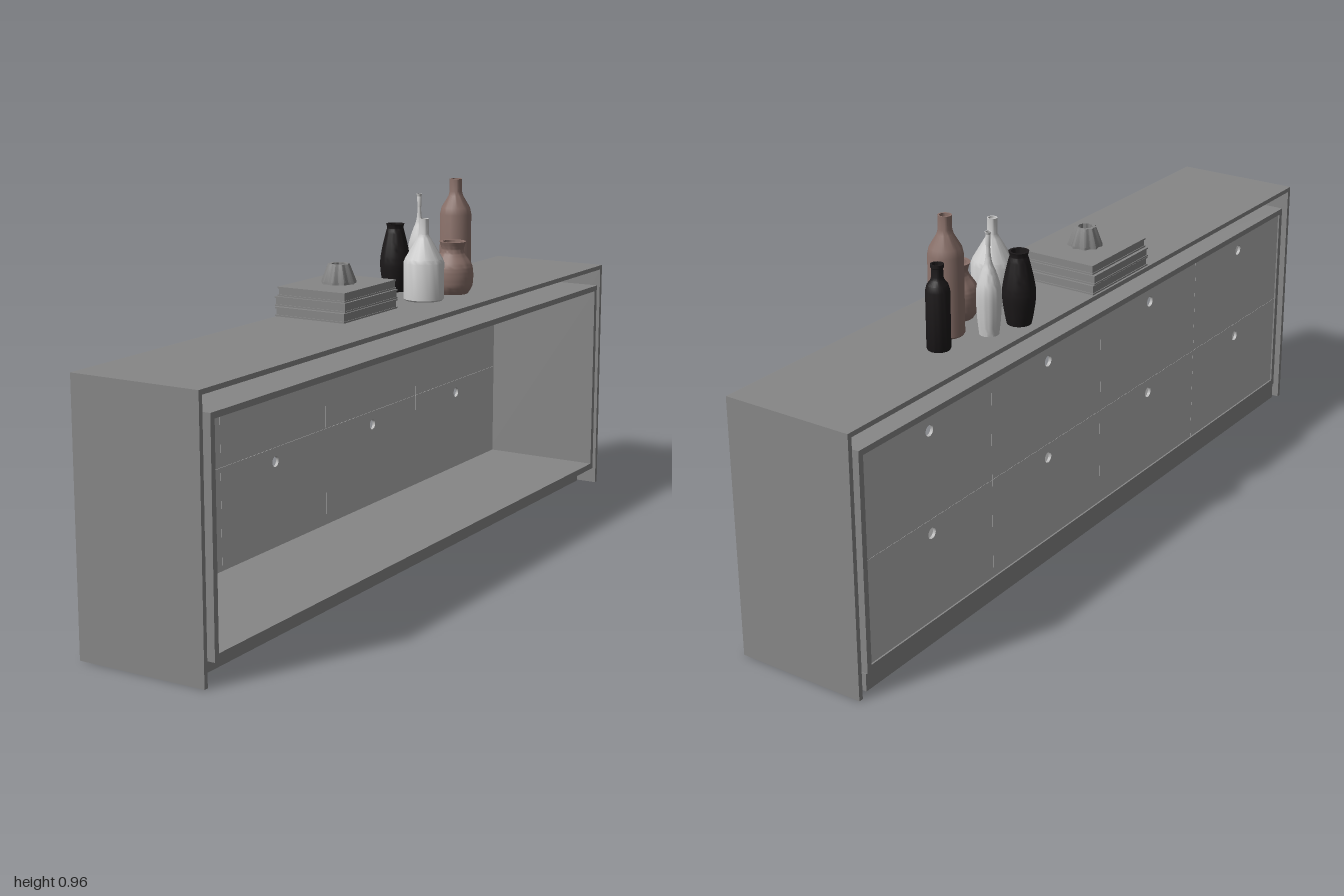
import * as THREE from 'three';
import { toCreasedNormals } from 'three/addons/utils/BufferGeometryUtils.js';

const tinted = (color) => new THREE.MeshStandardMaterial({ color, side: THREE.DoubleSide });
const darkGrey = tinted(0x878787), paleGrey = tinted(0xb4b4b4);
const white = tinted(0xf2f2f2), black = tinted(0x1c191a), clay = tinted(0x8a716a);

function add(parent, name, geometry, material = darkGrey) {
  const mesh = new THREE.Mesh(geometry, material);
  mesh.name = name;
  parent.add(mesh);
  return mesh;
}

// box given by its limits on each axis
function block(parent, name, [x0, x1], [y0, y1], [z0, z1]) {
  const mesh = add(parent, name, new THREE.BoxGeometry(x1 - x0, y1 - y0, z1 - z0));
  mesh.position.set((x0 + x1) / 2, (y0 + y1) / 2, (z0 + z1) / 2);
}

const rect = (Type, z0, z1, y0, y1) => new Type([[z0, y0], [z1, y0], [z1, y1], [z0, y1]]
  .map(([a, b]) => new THREE.Vector2(a, b)));

// plate in the z-y plane, extruded along x from x0 to x1
function plate(parent, name, shape, x0, x1, material) {
  const geometry = new THREE.ExtrudeGeometry(shape, { depth: x1 - x0, bevelEnabled: false, curveSegments: 16 });
  geometry.rotateY(-Math.PI / 2);
  geometry.translate(x1, 0, 0);
  add(parent, name, geometry, material);
}

// hollow turned vessel; points are [radius, height], smooth ones follow a spline
function vessel(parent, name, x, z, material, points, smooth = false) {
  let outer = points.map(([r, y]) => new THREE.Vector2(r, y));
  if (smooth) outer = new THREE.SplineCurve(outer).getPoints(28);
  const rim = outer[outer.length - 1];
  const inner = [new THREE.Vector2(rim.x * 0.75, rim.y), new THREE.Vector2(rim.x * 0.7, rim.y - 0.035),
    new THREE.Vector2(0, rim.y - 0.036)];
  const profile = [new THREE.Vector2(0, 0), ...outer, ...inner];
  const geometry = toCreasedNormals(new THREE.LatheGeometry(profile, 32), 0.5);
  add(parent, name, geometry, material).position.set(x, 0.661, z);
}

export function createModel() {
  const model = new THREE.Group();
  model.name = 'sideboard';

  // thin outer shell: top and two ends
  block(model, 'topPanel', [-0.174, 0.171], [0.649, 0.661], [-1, 1]);
  for (const s of [-1, 1]) block(model, 'endPanel', [-0.174, 0.171], [0, 0.649], [s * 0.994 - 0.006, s * 0.994 + 0.006]);

  // inner carcass, open on the +x side
  const frame = rect(THREE.Shape, -0.963, 0.963, 0.05, 0.605);
  frame.holes.push(rect(THREE.Path, -0.948, 0.948, 0.067, 0.59));
  plate(model, 'carcass', frame, -0.17, 0.173, darkGrey);
  block(model, 'plinth', [-0.166, 0.122], [0.004, 0.05], [-0.965, 0.965]);

  // two rows of four drawer fronts, each with a round finger hole
  const width = 0.474, gap = 0.0003;
  for (const [y0, y1] of [[0.067, 0.33], [0.33, 0.59]]) {
    for (let i = 0; i < 4; i++) {
      const z = (i - 1.5) * width;
      const front = rect(THREE.Shape, z - width / 2 + gap, z + width / 2 - gap, y0 + gap, y1 - gap);
      const hole = new THREE.Path();
      hole.absarc(z, y1 - 0.037, 0.014, 0, Math.PI * 2, true);
      front.holes.push(hole);
      plate(model, 'drawerFront', front, -0.166, -0.158, paleGrey);
    }
  }

  // stack of books: two covers around a recessed page block
  const books = new THREE.Group();
  books.name = 'bookStack';
  model.add(books);
  [[-0.171, 0.033, 0.663], [-0.173, 0.035, 0.689], [-0.166, 0.032, 0.714]].forEach(([x0, x1, y], i) => {
    const z = [-0.046 + i * 0.002, 0.212 - i * 0.002];
    for (const dy of [0, 0.02]) block(books, 'bookCover', [x0, x1], [y + dy, y + dy + 0.004], z);
    block(books, 'bookPages', [x0 + 0.002, x1 - 0.002], [y + 0.004, y + 0.02], [z[0] + 0.003, z[1] - 0.003]);
  });

  // fluted bowl standing on the books
  const bowl = new THREE.LatheGeometry([[0, 0], [0.042, 0], [0.042, 0.006], [0.026, 0.05], [0.018, 0.05], [0.02, 0.012], [0, 0.01]]
    .map(([r, y]) => new THREE.Vector2(r, y)), 72);
  const p = bowl.attributes.position;
  for (let i = 0; i < p.count; i++) {
    const flute = 1 + 0.07 * Math.cos(9 * Math.atan2(p.getZ(i), p.getX(i)));
    p.setX(i, p.getX(i) * flute);
    p.setZ(i, p.getZ(i) * flute);
  }
  add(model, 'flutedBowl', toCreasedNormals(bowl, 0.5)).position.set(-0.065, 0.738, 0.08);

  // group of vases and bottles
  vessel(model, 'slimBottle', -0.055, -0.525, black,
    [[0.027, 0], [0.029, 0.004], [0.029, 0.145], [0.025, 0.16], [0.016, 0.172], [0.014, 0.18], [0.014, 0.2], [0.016, 0.202], [0.016, 0.21]]);
  vessel(model, 'tallBottle', -0.015, -0.44, clay,
    [[0.04, 0], [0.043, 0.004], [0.043, 0.2], [0.039, 0.218], [0.02, 0.25], [0.017, 0.262], [0.017, 0.296]]);
  vessel(model, 'budVase', -0.098, -0.385, white,
    [[0.024, 0], [0.029, 0.05], [0.03, 0.11], [0.02, 0.15], [0.009, 0.18], [0.005, 0.21], [0.0045, 0.24], [0.008, 0.255]], true);
  vessel(model, 'roundJug', 0.032, -0.34, clay,
    [[0.042, 0], [0.054, 0.022], [0.056, 0.055], [0.051, 0.08], [0.034, 0.106], [0.03, 0.12], [0.036, 0.14]], true);
  vessel(model, 'darkVase', -0.118, -0.29, black,
    [[0.03, 0], [0.036, 0.03], [0.041, 0.075], [0.036, 0.115], [0.025, 0.162], [0.022, 0.173], [0.025, 0.183]], true);
  vessel(model, 'coneBottle', 0.02, -0.205, white,
    [[0.05, 0], [0.054, 0.004], [0.054, 0.1], [0.05, 0.11], [0.018, 0.164], [0.013, 0.174], [0.013, 0.215]]);

  return model;
}
